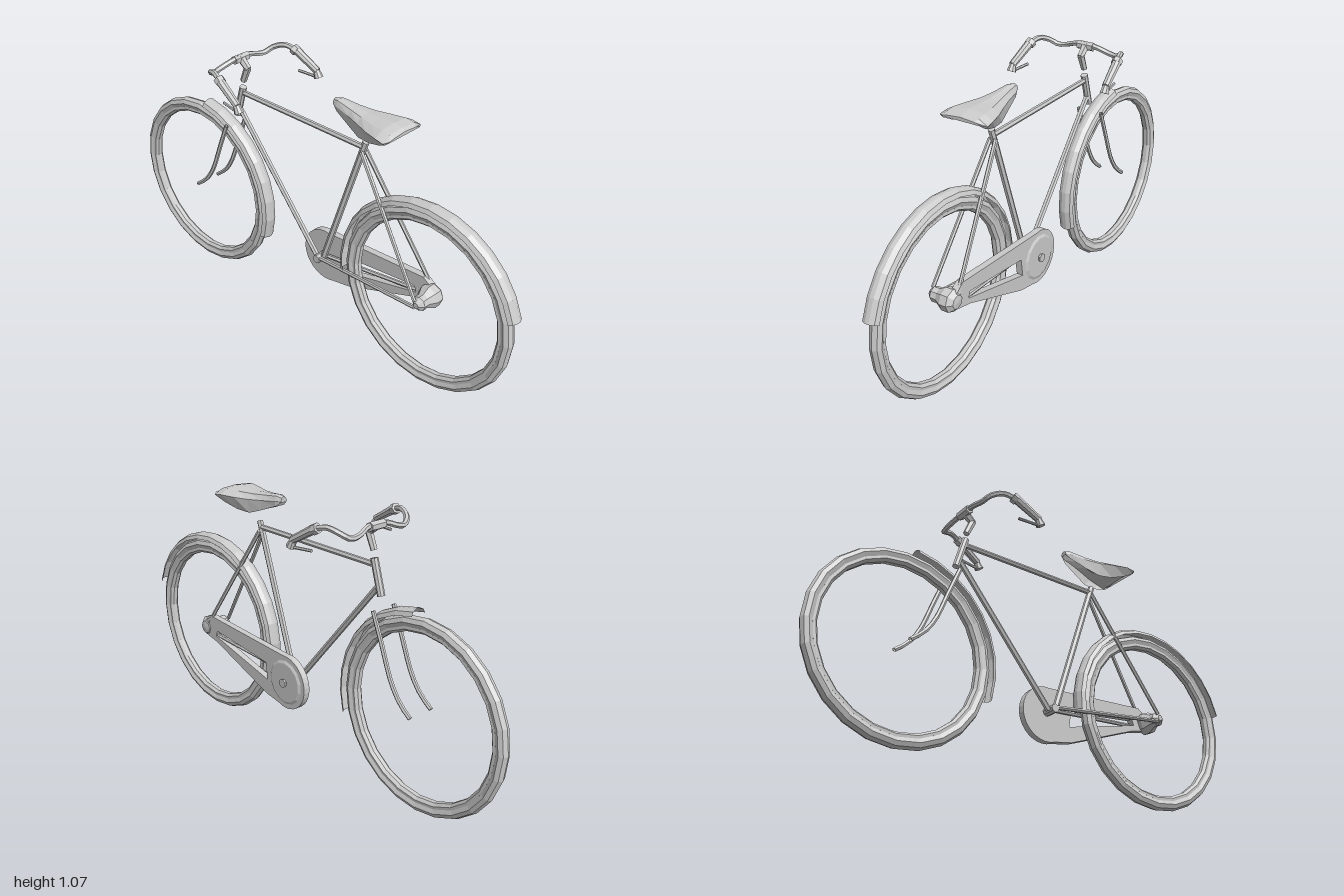
import * as THREE from 'three';

const mat = new THREE.MeshStandardMaterial({ color: 0xcccccc, flatShading: true, side: THREE.DoubleSide });
const V = (x, y, z = 0) => new THREE.Vector3(x, y, z);
const AXLE_Y = 0.385, FRONT_X = -0.615, REAR_X = 0.61;

export function createModel() {
  const bike = new THREE.Group();
  bike.name = 'bicycle';

  const add = (name, geo, x = 0, y = 0, z = 0) => {
    const m = new THREE.Mesh(geo, mat);
    m.name = name;
    m.position.set(x, y, z);
    bike.add(m);
    return m;
  };
  // straight tube between two points
  const rod = (name, a, b, r0, r1 = r0, sides = 6) => {
    const d = b.clone().sub(a);
    const m = add(name, new THREE.CylinderGeometry(r1, r0, d.length(), sides));
    m.position.copy(a).addScaledVector(d, 0.5);
    m.quaternion.setFromUnitVectors(V(0, 1, 0), d.normalize());
    return m;
  };
  // profile of [radius, width] spun about the wheel axle, from angle a0 to a1 (degrees)
  const ring = (name, profile, x, a0, a1, segs) => {
    const rad = THREE.MathUtils.degToRad;
    const g = new THREE.LatheGeometry(profile.map(p => new THREE.Vector2(...p)), segs, rad(a0 + 90), rad(a1 - a0));
    return add(name, g.rotateX(Math.PI / 2), x, AXLE_Y);
  };

  // wheels: tyre, rim, and mudguard
  const tyre = [[0.342, -0.017], [0.362, -0.026], [0.378, -0.018], [0.385, 0], [0.378, 0.018], [0.362, 0.026], [0.342, 0.017]];
  const rim = [[0.346, -0.019], [0.335, -0.02], [0.325, -0.009], [0.325, 0.009], [0.335, 0.02], [0.346, 0.019], [0.346, -0.019]];
  const guard = [[0.388, -0.034], [0.404, -0.026], [0.413, -0.008], [0.413, 0.008], [0.404, 0.026], [0.388, 0.034]];
  for (const [side, x, a0, a1] of [['front', FRONT_X, -16, 84], ['rear', REAR_X, 16, 188]]) {
    ring(side + 'Tyre', tyre, x, 0, 360, 24);
    ring(side + 'Rim', rim, x, 0, 360, 24);
    ring(side + 'Mudguard', guard, x, a0, a1, Math.round((a1 - a0) / 12));
  }

  // frame
  rod('headTube', V(-0.392, 0.79), V(-0.352, 0.925), 0.015, 0.015, 8);
  rod('topTube', V(-0.36, 0.9), V(0.285, 0.9), 0.011);
  rod('downTube', V(-0.382, 0.83), V(0.06, 0.305), 0.012);
  rod('seatTube', V(0.09, 0.31), V(0.295, 0.925), 0.013);
  rod('bottomBracket', V(0.075, 0.31, -0.05), V(0.075, 0.31, 0.025), 0.018, 0.018, 8);
  for (const s of [-1, 1]) {
    rod('seatStay', V(0.285, 0.885, s * 0.012), V(0.6, 0.4, s * 0.055), 0.009, 0.008);
    rod('chainStay', V(0.09, 0.318, s * 0.015), V(0.6, 0.37, s * 0.052), 0.009, 0.008);
    // curved fork blade
    const blade = new THREE.CatmullRomCurve3([V(-0.405, 0.75, s * 0.053), V(-0.45, 0.64, s * 0.053),
      V(-0.505, 0.505, s * 0.054), V(-0.55, 0.44, s * 0.055), V(-0.605, 0.395, s * 0.056)]);
    add('forkBlade', new THREE.TubeGeometry(blade, 10, 0.009, 6));
  }

  // rear hub
  const hub = [[0, -0.068], [0.028, -0.064], [0.047, -0.045], [0.047, -0.015], [0.03, 0.015], [0.03, 0.04], [0.012, 0.058], [0, 0.058]];
  ring('rearHub', hub, REAR_X, 0, 360, 8);

  // chain case with its long opening
  const cx = 0.075, cy = 0.302;
  const caseShape = new THREE.Shape();
  caseShape.moveTo(0.1, 0.415);
  caseShape.absarc(cx, cy, 0.115, 1.45, Math.PI * 2 - 1.2, false);
  caseShape.lineTo(0.2, 0.21);
  caseShape.lineTo(0.53, 0.335);
  caseShape.lineTo(0.6, 0.35);
  caseShape.lineTo(0.62, 0.41);
  caseShape.lineTo(0.57, 0.447);
  const opening = new THREE.Path([[0.19, 0.275], [0.2, 0.35], [0.53, 0.388], [0.54, 0.362]].map(p => new THREE.Vector2(...p)));
  caseShape.holes.push(opening);
  add('chainCase', new THREE.ExtrudeGeometry(caseShape, { depth: 0.028, bevelEnabled: false, curveSegments: 9 }), 0, 0, -0.06);
  rod('chainCaseDisc', V(cx, cy, -0.06), V(cx, cy, -0.066), 0.096, 0.085, 14);
  rod('crankAxle', V(cx, cy, -0.06), V(cx, cy, -0.078), 0.012, 0.02, 6);

  // handlebar, stem, grips and brake levers
  const half = [V(-0.36, 1.05, 0.04), V(-0.372, 1.03, 0.1), V(-0.368, 1.026, 0.135), V(-0.35, 1.045, 0.165),
    V(-0.3, 1.062, 0.187), V(-0.24, 1.04, 0.203), V(-0.19, 1.01, 0.21)];
  const mirrored = half.map(p => V(p.x, p.y, -p.z)).reverse();
  add('handlebar', new THREE.TubeGeometry(new THREE.CatmullRomCurve3([...mirrored, ...half]), 40, 0.011, 6));
  rod('stem', V(-0.35, 0.953), V(-0.322, 1.018), 0.013, 0.015);
  rod('stemExtension', V(-0.318, 1.012), V(-0.362, 1.05), 0.014, 0.018);
  rod('barClamp', V(-0.36, 1.047, -0.035), V(-0.36, 1.047, 0.035), 0.018);
  for (const s of [-1, 1]) {
    rod('grip', V(-0.25, 1.047, s * 0.201), V(-0.15, 0.988, s * 0.213), 0.018, 0.015, 8);
    rod('gripEnd', V(-0.155, 0.99, s * 0.213), V(-0.142, 0.962, s * 0.213), 0.013, 0.019, 8);
    rod('leverClamp', V(-0.268, 1.055, s * 0.197), V(-0.25, 1.045, s * 0.2), 0.021);
    rod('brakeLever', V(-0.24, 0.966, s * 0.2), V(-0.15, 0.962, s * 0.213), 0.006);
  }

  // saddle shell, open below: [x, half width, top y, skirt half width, skirt bottom y]
  const stations = [
    [0.145, 0.016, 1.052, 0.012, 1.03], [0.17, 0.026, 1.057, 0.022, 1.012], [0.24, 0.04, 1.05, 0.036, 0.985],
    [0.3, 0.058, 1.046, 0.05, 0.965], [0.36, 0.082, 1.047, 0.062, 0.97], [0.42, 0.1, 1.049, 0.078, 0.99],
    [0.455, 0.102, 1.043, 0.09, 1.008], [0.47, 0.085, 1.034, 0.078, 1.02]];
  const pos = [], idx = [], n = 7;
  for (const [x, w, top, sw, low] of stations) {
    const side = [[sw, low], [w, Math.max(low + 0.004, top - 0.025)], [w * 0.65, top - 0.005]];
    const section = [...side, [0, top], ...side.map(([z, y]) => [-z, y]).reverse()];
    section.forEach(([z, y]) => pos.push(x, y, z));
  }
  for (let i = 0; i < stations.length - 1; i++) {
    for (let j = 0; j < n - 1; j++) {
      const a = i * n + j, b = a + n;
      idx.push(a, b, a + 1, b, b + 1, a + 1);
    }
  }
  // close the nose and the back edge
  for (const base of [0, (stations.length - 1) * n]) {
    for (let j = 1; j < n - 1; j++) idx.push(...(base ? [base, base + j + 1, base + j] : [base, base + j, base + j + 1]));
  }
  const saddle = new THREE.BufferGeometry();
  saddle.setAttribute('position', new THREE.Float32BufferAttribute(pos, 3));
  saddle.setIndex(idx);
  saddle.computeVertexNormals();
  add('saddle', saddle);

  // the bicycle stands turned very slightly
  bike.rotation.y = -0.018;
  const model = new THREE.Group();
  model.name = 'bicycleModel';
  model.add(bike);
  return model;
}
